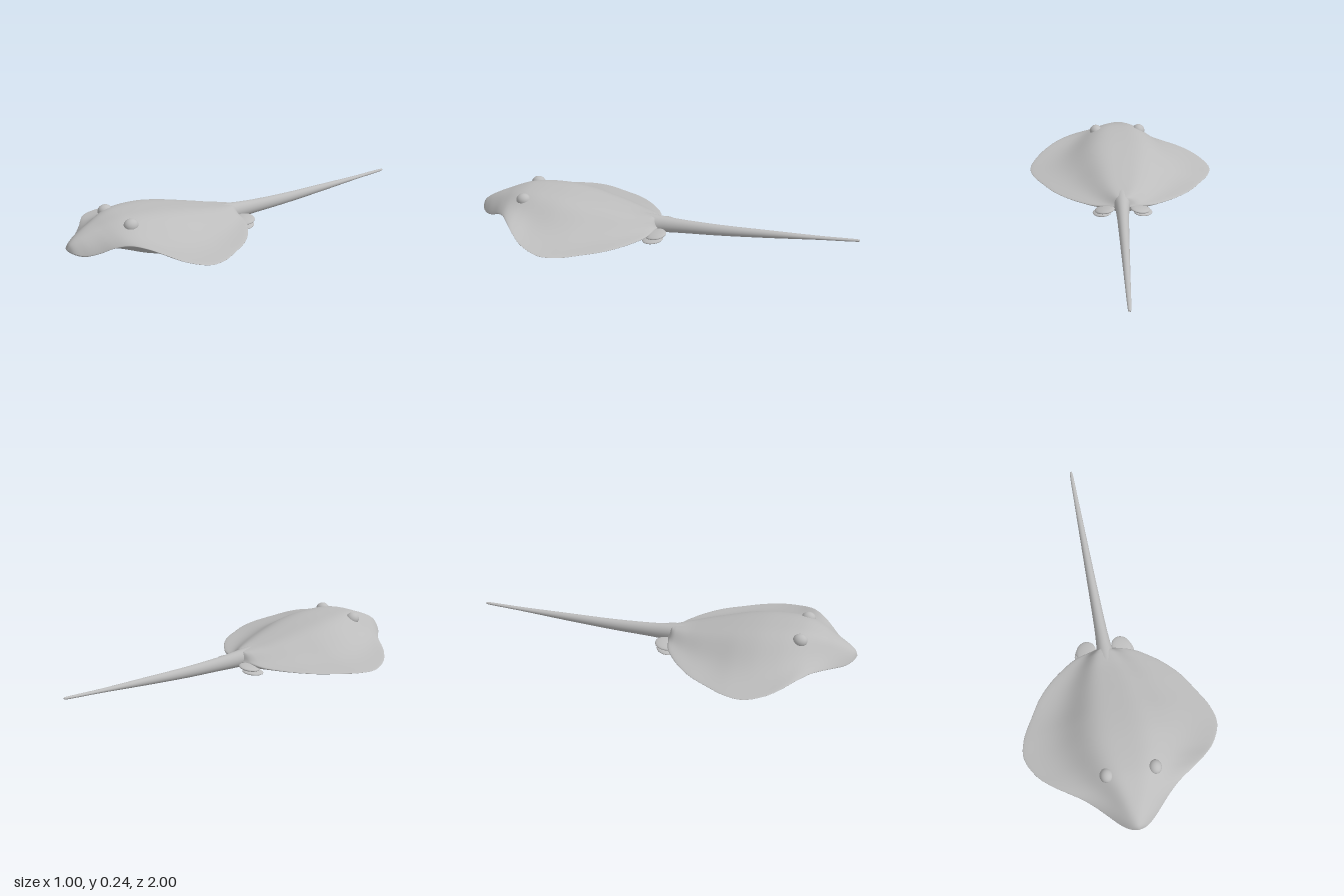
import * as THREE from 'three';

// Closed skin over rings; point(u, angle) returns [x, y, z], u runs from front to back
function loft(rings, sides, point) {
  const pos = [], idx = [];
  for (let i = 0; i <= rings; i++) {
    for (let j = 0; j < sides; j++) pos.push(...point(i / rings, (j / sides) * Math.PI * 2));
  }
  for (let i = 0; i < rings; i++) {
    for (let j = 0; j < sides; j++) {
      const k = (j + 1) % sides;
      const a = i * sides + j, b = i * sides + k, c = a + sides, d = b + sides;
      idx.push(a, c, b, b, c, d);
    }
  }
  const g = new THREE.BufferGeometry();
  g.setAttribute('position', new THREE.Float32BufferAttribute(pos, 3));
  g.setIndex(idx);
  g.computeVertexNormals();
  return g;
}

const spline = (rows, a, b, c) =>
  new THREE.CatmullRomCurve3(rows.map(r => new THREE.Vector3(r[a], r[b], r[c])), false, 'catmullrom', 0.5);

// Disc sections: z, half width, back height, belly height, right edge height, left edge height
const DISC = [
  [1.0, 0, 0.11, 0.108, 0.109, 0.109],
  [0.985, 0.045, 0.138, 0.092, 0.1, 0.1],
  [0.95, 0.089, 0.163, 0.08, 0.092, 0.096],
  [0.9, 0.138, 0.187, 0.078, 0.096, 0.114],
  [0.85, 0.188, 0.206, 0.077, 0.102, 0.144],
  [0.8, 0.247, 0.224, 0.075, 0.108, 0.162],
  [0.75, 0.32, 0.236, 0.066, 0.106, 0.158],
  [0.7, 0.388, 0.24, 0.05, 0.096, 0.14],
  [0.63, 0.455, 0.239, 0.026, 0.08, 0.11],
  [0.53, 0.499, 0.231, 0.008, 0.067, 0.085],
  [0.43, 0.482, 0.215, 0.001, 0.066, 0.077],
  [0.33, 0.428, 0.194, 0.003, 0.068, 0.077],
  [0.23, 0.365, 0.171, 0.014, 0.072, 0.078],
  [0.15, 0.287, 0.153, 0.03, 0.076, 0.079],
  [0.09, 0.205, 0.143, 0.042, 0.079, 0.08],
  [0.06, 0.15, 0.138, 0.047, 0.081, 0.081],
  [0.04, 0.08, 0.13, 0.052, 0.085, 0.085],
  [0.02, 0, 0.09, 0.088, 0.089, 0.089],
];

// Tail sections: z, half width, top, bottom
const TAIL = [
  [0.2, 0.04, 0.155, 0.06],
  [0.08, 0.045, 0.144, 0.052],
  [0, 0.037, 0.136, 0.052],
  [-0.1, 0.031, 0.128, 0.056],
  [-0.3, 0.025, 0.12, 0.063],
  [-0.55, 0.019, 0.118, 0.078],
  [-0.8, 0.013, 0.116, 0.096],
  [-0.985, 0.008, 0.119, 0.106],
  [-1, 0, 0.113, 0.112],
];

function discGeometry() {
  const upper = spline(DISC, 0, 1, 2), lower = spline(DISC, 3, 4, 5);
  return loft(110, 120, (u, angle) => {
    const { x: z, y: w, z: top } = upper.getPoint(u);
    const { x: belly, y: right, z: left } = lower.getPoint(u);
    const t = Math.cos(angle), s = Math.sin(angle), m = Math.abs(t);
    const edge = t > 0 ? left : right;
    // Flat back with steep shoulders and a narrow keel-like belly, both rounder at the snout
    const snout = THREE.MathUtils.smoothstep(z, 0.7, 0.98);
    const rear = 1 - THREE.MathUtils.smoothstep(z, 0.05, 0.45);
    const round = Math.max(0, 1 - m * m);
    const shoulder = Math.pow((1 - m ** 4) / (1 + (m / 0.5) ** 4), 1 + 0.5 * rear);
    const hump = s >= 0
      ? THREE.MathUtils.lerp(shoulder, Math.pow(round, 1.2), snout)
      : Math.pow(round, 4.3 - 2.8 * snout - 1.5 * rear);
    const lip = 0.015 * s * (1 - hump) * Math.min(1, w / 0.1);
    return [w * t, edge + ((s >= 0 ? top : belly) - edge) * hump + lip, z];
  });
}

function tailGeometry() {
  const size = spline(TAIL, 0, 1, 2), under = spline(TAIL, 0, 3, 3);
  return loft(60, 24, (u, angle) => {
    const { x: z, y: w, z: top } = size.getPoint(u);
    const bottom = under.getPoint(u).y;
    return [
      0.007 - 0.006 * z + w * Math.cos(angle),
      (top + bottom) / 2 + ((top - bottom) / 2) * Math.sin(angle),
      z,
    ];
  });
}

export function createModel() {
  const model = new THREE.Group();
  model.name = 'stingray';
  const skin = new THREE.MeshStandardMaterial({ color: 0xbcbcbc });
  skin.name = 'grey skin';

  const add = (name, geometry, position, scale, rotation) => {
    const mesh = new THREE.Mesh(geometry, skin);
    mesh.name = name;
    if (position) mesh.position.set(...position);
    if (scale) mesh.scale.set(...scale);
    if (rotation) mesh.rotation.set(...rotation);
    model.add(mesh);
  };

  add('disc', discGeometry());
  add('tail', tailGeometry());

  const ball = new THREE.SphereGeometry(1, 32, 20);
  const arc = new THREE.TorusGeometry(0.028, 0.007, 10, 24, Math.PI);
  for (const [side, label] of [[1, 'left'], [-1, 'right']]) {
    const x = 0.01 + side * 0.122;
    // Low eye mound, with the hooked rim of the breathing hole outside and behind it
    add(label + 'Eye', ball, [x, 0.212, 0.725], [0.034, 0.033, 0.037], [0, 0, -side * 0.6]);
    add(label + 'SpiracleRim', arc, [x, 0.216, 0.698], [1, 1.1, 1], [-Math.PI / 2, side * 0.6, -side * Math.PI / 2]);
    // Paired pelvic lobes, one above the other
    add(label + 'UpperPelvicFin', ball, [0.005 + side * 0.093, 0.075, 0.03], [0.052, 0.013, 0.056], [0.15, side * 0.4, -side * 0.15]);
    add(label + 'LowerPelvicFin', ball, [0.005 + side * 0.108, 0.052, 0.04], [0.047, 0.011, 0.055], [0.12, side * 0.5, -side * 0.1]);
  }
  return model;
}
